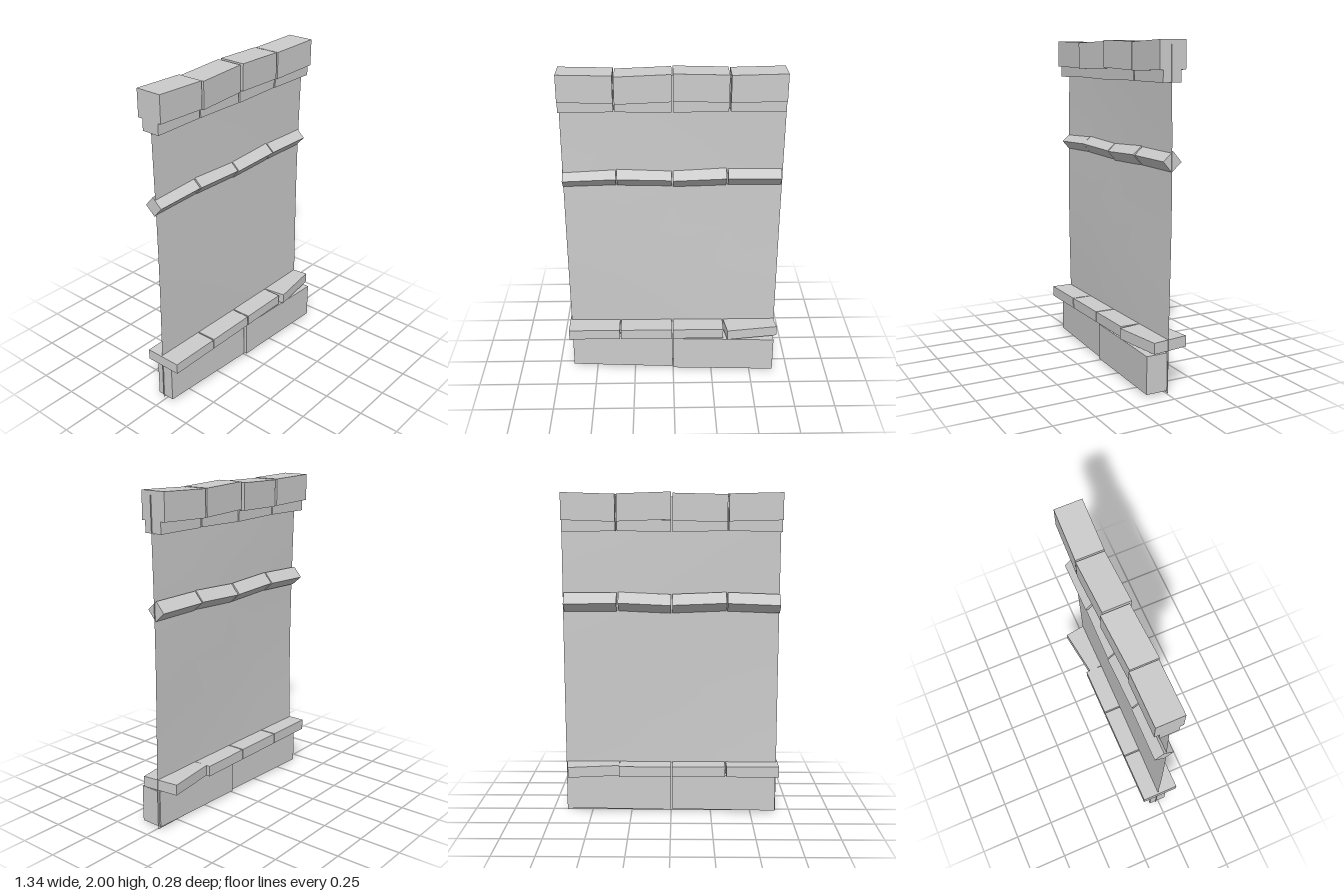
import * as THREE from 'three';

const material = new THREE.MeshStandardMaterial({ color: 0xcccccc });
const thinMaterial = new THREE.MeshStandardMaterial({ color: 0xcccccc, side: THREE.DoubleSide });

// Plank from x0 to x1 whose centre line runs from a = [y, z] to b = [y, z]
function plank(name, x0, x1, a, b, height, depth, roll = 0) {
  const geometry = new THREE.BoxGeometry(x1 - x0, height, depth);
  geometry.rotateX(roll);
  const p = geometry.attributes.position;
  for (let i = 0; i < p.count; i++) {
    const t = p.getX(i) / (x1 - x0) + 0.5;
    p.setXYZ(i, x0 + t * (x1 - x0),
      p.getY(i) + THREE.MathUtils.lerp(a[0], b[0], t),
      p.getZ(i) + THREE.MathUtils.lerp(a[1], b[1], t));
  }
  geometry.computeVertexNormals();
  const mesh = new THREE.Mesh(geometry, material);
  mesh.name = name;
  return mesh;
}

// Four planks side by side, each with its own slight tilt
const spans = [[-0.665, -0.345], [-0.337, -0.008], [0, 0.323], [0.333, 0.655]];
function plankRow(name, ends, height, depth, roll) {
  const row = new THREE.Group();
  row.name = name;
  ends.forEach(([a, b], i) => row.add(
    plank(name + 'Plank' + (i + 1), spans[i][0], spans[i][1], a, b, height, depth, roll)));
  return row;
}

export function createModel() {
  const model = new THREE.Group();
  model.name = 'wallPanel';

  // Thin, slightly wavy wall sheet
  const sheetGeometry = new THREE.PlaneGeometry(1.325, 1.97, 4, 8);
  sheetGeometry.translate(0, 0.985, 0);
  const p = sheetGeometry.attributes.position;
  for (let i = 0; i < p.count; i++) {
    p.setZ(i, -0.014 + 0.006 * Math.sin(p.getY(i) * 3 + p.getX(i) * 2));
  }
  sheetGeometry.computeVertexNormals();
  const sheet = new THREE.Mesh(sheetGeometry, thinMaterial);
  sheet.name = 'wallSheet';
  model.add(sheet);

  // Thick top beam
  model.add(plankRow('topBeam', [
    [[1.913, -0.025], [1.906, -0.025]],
    [[1.902, -0.018], [1.91, -0.036]],
    [[1.917, -0.022], [1.906, -0.034]],
    [[1.904, -0.032], [1.914, -0.022]],
  ], 0.162, 0.166));

  // Narrow ledge beneath the top beam
  model.add(plankRow('topLedge', [
    [[1.798, -0.02], [1.803, -0.02]],
    [[1.803, -0.018], [1.797, -0.024]],
    [[1.797, -0.02], [1.803, -0.022]],
    [[1.801, -0.022], [1.8, -0.018]],
  ], 0.07, 0.115));

  // Diamond-section middle rail
  model.add(plankRow('middleRail', [
    [[1.326, -0.025], [1.338, -0.025]],
    [[1.339, -0.022], [1.327, -0.028]],
    [[1.325, -0.025], [1.339, -0.022]],
    [[1.337, -0.025], [1.335, -0.025]],
  ], 0.083, 0.083, 0.72));

  // Wide low shelf, its last plank swung out of line
  const shelf = new THREE.Group();
  shelf.name = 'lowerShelf';
  spans.slice(0, 3).forEach(([x0, x1], i) => shelf.add(
    plank('lowerShelfPlank' + (i + 1), x0 - 0.006 * (i === 0), x1, [0.286, -0.003], [0.286, -0.003], 0.066, 0.236)));
  const loose = plank('looseShelfPlank', -0.163, 0.163, [0, 0], [0, 0], 0.066, 0.232);
  loose.position.set(0.494, 0.286, -0.003);
  loose.rotation.y = 0.14;
  shelf.add(loose);
  model.add(shelf);

  // Two long skirting boards, skewed across the sheet
  model.add(plank('skirtingRight', -0.655, -0.005, [0.128, -0.006], [0.125, 0.028], 0.228, 0.112));
  model.add(plank('skirtingLeft', 0.003, 0.65, [0.126, 0.028], [0.126, 0.054], 0.228, 0.142));

  return model;
}
